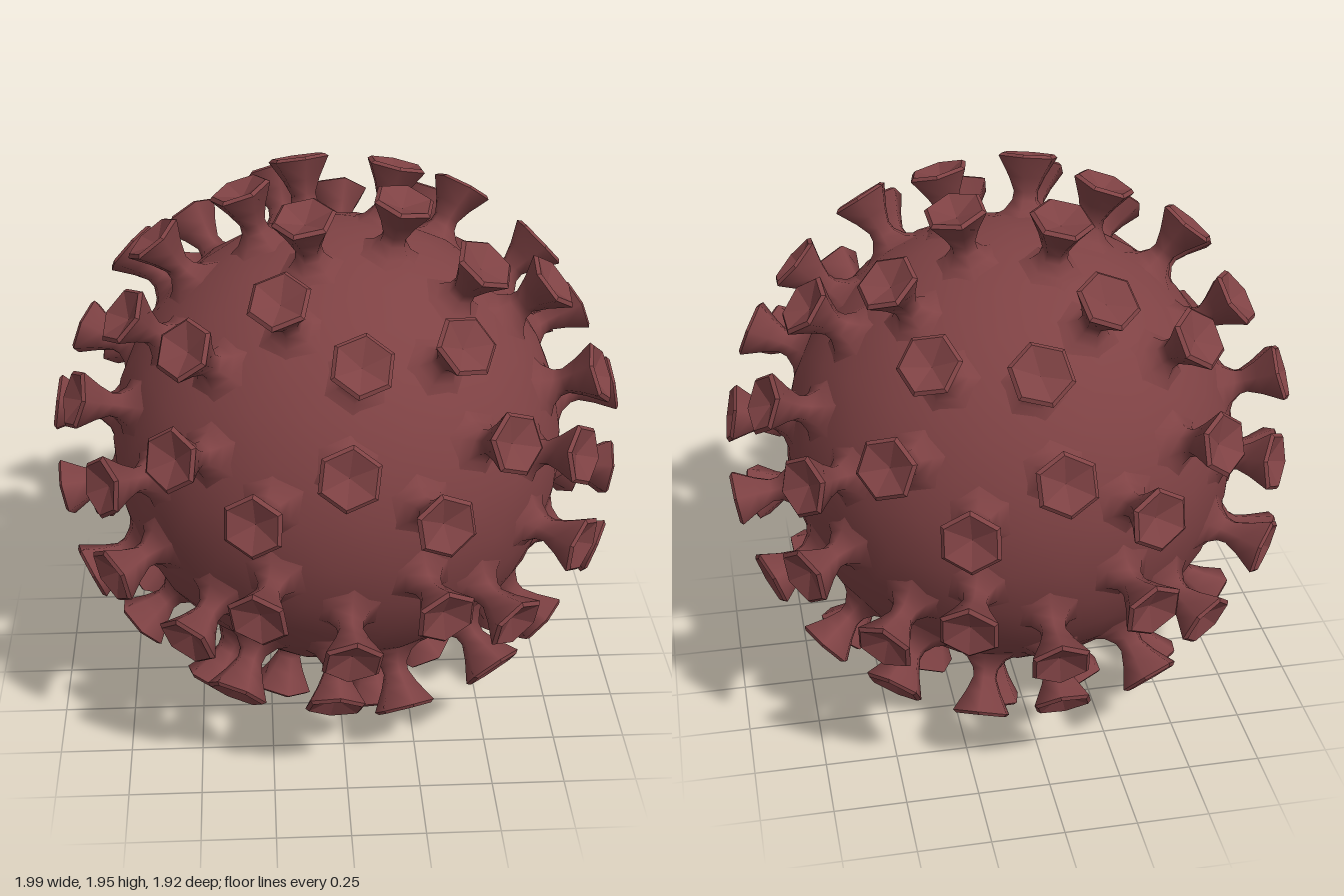
import * as THREE from 'three';

const COLOR = 0x7f4244;
const CENTER_Y = 1;

export function createModel() {
  const model = new THREE.Group();
  model.name = 'spikedSphere';
  const smooth = new THREE.MeshStandardMaterial({ color: COLOR });
  const faceted = new THREE.MeshStandardMaterial({ color: COLOR, flatShading: true });

  const body = new THREE.Group();
  body.position.y = CENTER_Y;
  body.rotation.z = -Math.PI / 6;
  model.add(body);

  // Round core
  const core = new THREE.Mesh(new THREE.IcosahedronGeometry(0.79, 4), smooth);
  core.name = 'core';
  body.add(core);

  // Six-sided spike: flared foot, thin neck, trumpet head; y is distance from the core's centre
  const lathe = (points) =>
    new THREE.LatheGeometry(points.map(([r, y]) => new THREE.Vector2(r, y)), 6);
  const stemGeometry = lathe([
    [0.13, 0.765], [0.075, 0.795], [0.048, 0.83], [0.044, 0.86], [0.066, 0.91], [0.108, 0.98],
  ]);
  // Shallow hollow in the end of the head
  const cupGeometry = lathe([[0.108, 0.98], [0.095, 0.99], [0, 0.955]]);

  // One spike on each of the 80 faces of a once-divided icosahedron
  const faces = new THREE.IcosahedronGeometry(1, 1).toNonIndexed
    ? new THREE.IcosahedronGeometry(1, 1).getAttribute('position')
    : null;
  const corner = new THREE.Vector3();
  const up = new THREE.Vector3();
  const side = new THREE.Vector3();
  const toCorner = new THREE.Vector3();
  const basis = new THREE.Matrix4();

  for (let i = 0; i < faces.count; i += 3) {
    up.set(0, 0, 0);
    for (let k = 0; k < 3; k++) up.add(corner.fromBufferAttribute(faces, i + k));
    up.normalize();
    // Turn one edge of the six-sided head toward a corner of the face
    corner.fromBufferAttribute(faces, i);
    toCorner.copy(corner).addScaledVector(up, -corner.dot(up)).normalize();
    side.crossVectors(up, toCorner);
    basis.makeBasis(side, up, toCorner);

    const spike = new THREE.Group();
    spike.name = 'spike';
    spike.quaternion.setFromRotationMatrix(basis);
    const stem = new THREE.Mesh(stemGeometry, smooth);
    stem.name = 'spikeStem';
    const cup = new THREE.Mesh(cupGeometry, faceted);
    cup.name = 'spikeTip';
    spike.add(stem, cup);
    body.add(spike);
  }
  return model;
}
